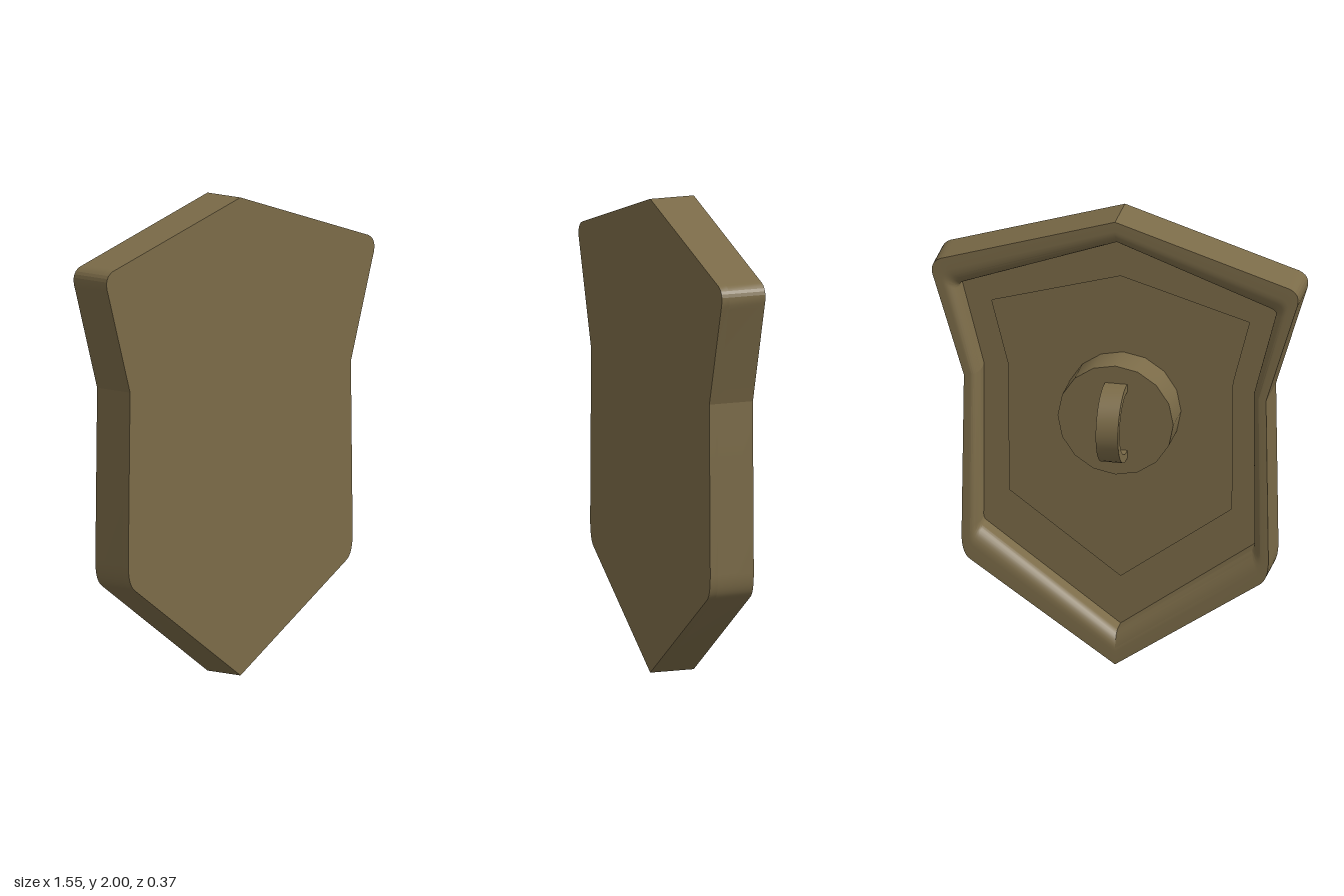
import * as THREE from 'three';
import { toCreasedNormals } from 'three/addons/utils/BufferGeometryUtils.js';

const FRONT = 0.185, BACK = -0.01, LEDGE = 0.1, RECESS = 0.15;
const material = new THREE.MeshStandardMaterial({ color: 0x7b6b48 });
const CREASE = 0.25;

// Half outlines from top point to bottom point; nested triples are rounded corners
const OUTER = [[0, 2], [[0.72, 1.773], [0.8, 1.755], [0.766, 1.67]], [0.64, 1.25],
  [[0.65, 0.53], [0.65, 0.445], [0.615, 0.42]], [0, 0]];
const INNER = [[0, 1.89], [[0.65, 1.65], [0.675, 1.64], [0.67, 1.62]], [0.578, 1.26],
  [[0.58, 0.58], [0.58, 0.565], [0.57, 0.555]], [0, 0.14]];
const PANEL = [[0, 1.71], [0.546, 1.55], [0.475, 1.27], [0.47, 0.7], [0, 0.355]];

// Full closed outline, mirrored across x = 0
function outline(half) {
  const right = half.flatMap((p) => {
    if (!Array.isArray(p[0])) return [new THREE.Vector2(...p)];
    return new THREE.QuadraticBezierCurve(...p.map((q) => new THREE.Vector2(...q))).getPoints(8);
  });
  const left = right.slice(1, -1).reverse().map((p) => new THREE.Vector2(-p.x, p.y));
  return [...right, ...left];
}

function addMesh(group, name, geometry) {
  const mesh = new THREE.Mesh(geometry, material);
  mesh.name = name;
  group.add(mesh);
  return mesh;
}

function slab(shape, z0, z1) {
  const geometry = new THREE.ExtrudeGeometry(shape, { depth: z1 - z0, bevelEnabled: false, curveSegments: 12 });
  geometry.translate(0, 0, z0);
  return toCreasedNormals(geometry, CREASE);
}

// Outer wall, flat rim and rounded inner lip, skinned between the two outlines
function rimGeometry() {
  const outer = outline(OUTER), inner = outline(INNER), n = outer.length;
  const section = [[0, RECESS], [0, BACK]];
  for (let k = 0; k <= 8; k++) {
    const a = (k / 8) * Math.PI / 2;
    section.push([0.4 + 0.6 * Math.sin(a), BACK + 0.06 * (1 - Math.cos(a))]);
  }
  section.push([1, LEDGE + 0.005]);

  const positions = [], index = [];
  section.forEach(([t, z], j) => {
    for (let i = 0; i < n; i++) {
      const p = outer[i].clone().lerp(inner[i], t);
      positions.push(p.x, p.y, z);
      if (j === section.length - 1) continue;
      const a = j * n + i, b = j * n + (i + 1) % n;
      index.push(a, b, a + n, b, b + n, a + n);
    }
  });
  const geometry = new THREE.BufferGeometry();
  geometry.setAttribute('position', new THREE.Float32BufferAttribute(positions, 3));
  geometry.setIndex(index);
  return toCreasedNormals(geometry, CREASE);
}

export function createModel() {
  const group = new THREE.Group();
  group.name = 'shield';

  // Front plate, whose back is the floor of the recess
  addMesh(group, 'frontPlate', slab(new THREE.Shape(outline(OUTER)), RECESS, FRONT));
  addMesh(group, 'rim', rimGeometry());

  // Ledge framing the recessed panel on the back
  const ledge = new THREE.Shape(outline(INNER));
  ledge.holes.push(new THREE.Path(outline(PANEL)));
  addMesh(group, 'backLedge', slab(ledge, LEDGE, RECESS));

  // Round boss that carries the grip
  const boss = new THREE.CylinderGeometry(0.245, 0.245, 0.16, 16);
  boss.rotateX(Math.PI / 2);
  addMesh(group, 'handleBoss', toCreasedNormals(boss, 0.5)).position.set(0, 1.1, 0.08);

  // Curved strap grip
  const sweep = THREE.MathUtils.degToRad(100);
  const arc = new THREE.Shape();
  arc.absarc(0, 0, 0.168, -sweep, sweep, false);
  arc.absarc(0, 0, 0.133, sweep, -sweep, true);
  const grip = new THREE.ExtrudeGeometry(arc, { depth: 0.094, bevelEnabled: false, curveSegments: 11 });
  grip.translate(0, 0, -0.05);
  grip.rotateY(Math.PI / 2);
  addMesh(group, 'handleGrip', toCreasedNormals(grip, 0.5)).position.set(0, 1.1, -0.016);

  return group;
}
